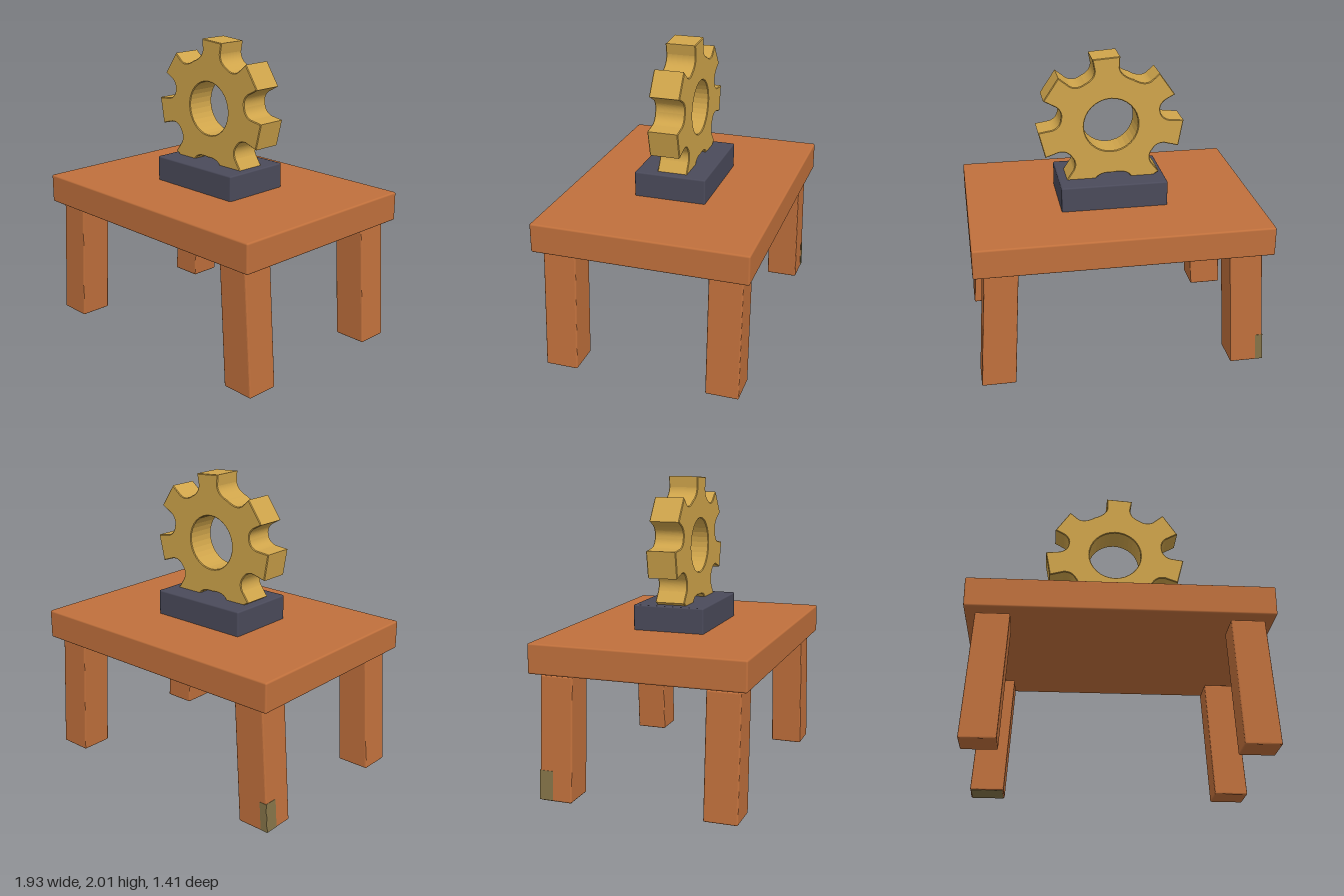
import * as THREE from 'three';
import { RoundedBoxGeometry } from 'three/addons/geometries/RoundedBoxGeometry.js';

const material = (name, color) => {
  const m = new THREE.MeshStandardMaterial({ color });
  m.name = name;
  return m;
};

// Gear outline: unevenly spaced teeth [angle in degrees, tip radius] joined by rounded valleys
function gearShape() {
  const teeth = [[-62, 0.465], [-14, 0.472], [33.7, 0.47], [86, 0.452], [144.8, 0.452], [190, 0.475], [238, 0.465]];
  const root = 0.335;
  const shape = new THREE.Shape();
  const at = (deg, r, t) => {
    const a = THREE.MathUtils.degToRad(deg);
    return [r * Math.cos(a) - t * Math.sin(a), r * Math.sin(a) + t * Math.cos(a)];
  };
  teeth.forEach(([deg, tip], i) => {
    const next = i + 1 < teeth.length ? teeth[i + 1][0] : teeth[0][0] + 360;
    if (i === 0) shape.moveTo(...at(deg, 0.38, -0.082));
    shape.lineTo(...at(deg, tip, -0.09));
    shape.lineTo(...at(deg, tip, 0.09));
    shape.lineTo(...at(deg, 0.38, 0.082));
    shape.quadraticCurveTo(...at(deg, 0.325, 0.085), ...at((deg + next) / 2, root, 0));
    shape.quadraticCurveTo(...at(next, 0.325, -0.085), ...at(next, 0.38, -0.082));
  });
  const bore = new THREE.Path();
  bore.absarc(0, 0, 0.18, 0, Math.PI * 2, true);
  shape.holes.push(bore);
  return shape;
}

export function createModel() {
  const model = new THREE.Group();
  model.name = 'gearOnTable';
  const wood = material('wood', 0xc0703c);
  const brass = material('brass', 0xd0a54b);
  const slate = material('slate', 0x4a4a5a);
  const olive = material('olive', 0x857448);

  const add = (parent, name, geometry, mat, x = 0, y = 0, z = 0) => {
    const mesh = new THREE.Mesh(geometry, mat);
    mesh.name = name;
    mesh.position.set(x, y, z);
    parent.add(mesh);
    return mesh;
  };

  // Table top and plinth
  add(model, 'tableTop', new RoundedBoxGeometry(1.926, 0.195, 1.41, 2, 0.012), wood, 0, 0.9175, 0);
  add(model, 'plinth', new RoundedBoxGeometry(0.706, 0.18, 0.48, 2, 0.01), slate, -0.002, 1.092, -0.003);

  // Upright gear
  const gear = new THREE.ExtrudeGeometry(gearShape(), {
    depth: 0.19, curveSegments: 16, bevelEnabled: true,
    bevelThickness: 0.005, bevelSize: 0.005, bevelOffset: -0.005, bevelSegments: 1,
  });
  add(model, 'gear', gear, brass, 0, 1.548, -0.098);

  // Legs lean inward toward the top and narrow a little
  const splay = (geometry, side) => {
    const p = geometry.attributes.position;
    for (let i = 0; i < p.count; i++) {
      const y = p.getY(i);
      p.setX(i, p.getX(i) * (1 - 0.05 * y) + side * (0.835 - 0.06 * y));
    }
    geometry.computeVertexNormals();
    return geometry;
  };
  for (const side of [-1, 1]) {
    for (const end of [-1, 1]) {
      const leg = new RoundedBoxGeometry(0.225, 0.803, 0.218, 2, 0.01);
      leg.translate(0, 0.4015, 0);
      add(model, (end > 0 ? 'front' : 'back') + (side > 0 ? 'Left' : 'Right') + 'Leg',
        splay(leg, side), wood, 0, 0, end * 0.543);
    }
  }

  // Worn patches around the foot of one back leg
  const patch = (name, w, h, d, x, y, z) => {
    const g = new THREE.BoxGeometry(w, h, d);
    g.translate(x, y, z);
    add(model, name, splay(g, -1), olive, 0, 0, -0.543);
  };
  patch('wornSole', 0.21, 0.004, 0.205, 0, 0.001, 0);
  patch('wornBackFace', 0.05, 0.19, 0.004, -0.088, 0.1, -0.109);
  patch('wornOuterFace', 0.004, 0.19, 0.09, -0.1125, 0.1, -0.064);

  return model;
}
